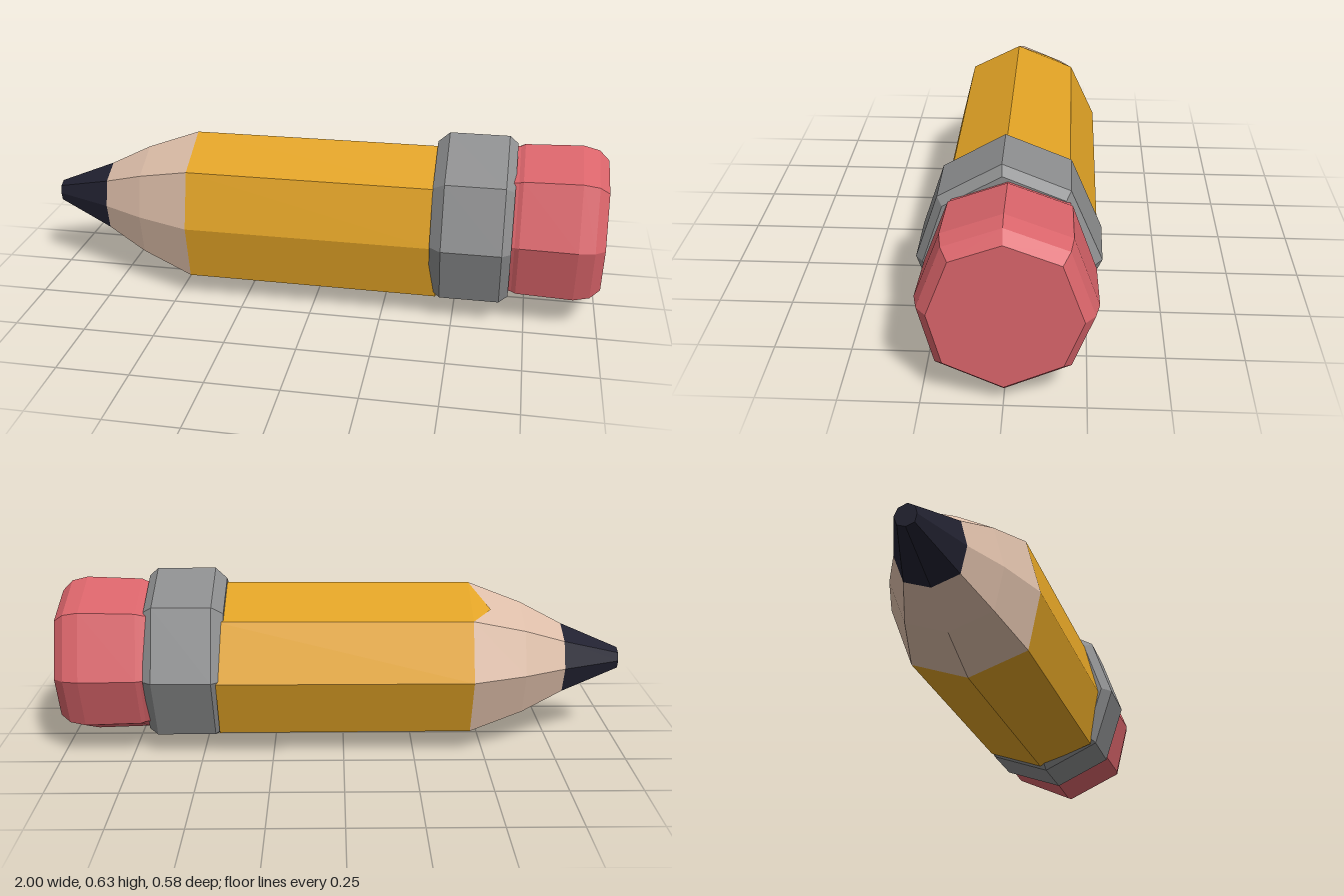
import * as THREE from 'three';

const paint = (name, color) => {
  const m = new THREE.MeshStandardMaterial({ color });
  m.name = name;
  return m;
};

// Eight-sided sections as [z, y], from the top round by the front
const SHAFT = [[0.02, 0.58], [0.195, 0.49], [0.243, 0.292], [0.2, 0.09],
  [0.0, 0.02], [-0.195, 0.09], [-0.275, 0.3], [-0.185, 0.495]];
const BAND = [[0.02, 0.636], [0.22, 0.52], [0.292, 0.305], [0.22, 0.095],
  [0.02, 0.003], [-0.19, 0.08], [-0.292, 0.308], [-0.19, 0.55]];
const RUBBER = [[0.0, 0.61], [0.185, 0.54], [0.266, 0.325], [0.215, 0.125],
  [0.0, 0.027], [-0.21, 0.125], [-0.28, 0.31], [-0.2, 0.535]];

// A section placed at x and scaled about its middle
function ring(section, x, scale = 1, cz = -0.01, cy = 0.3) {
  return section.map(([z, y]) => new THREE.Vector3(x, cy + (y - cy) * scale, cz + (z - cz) * scale));
}

function faceted(name, triangles, material) {
  const geometry = new THREE.BufferGeometry().setFromPoints(triangles);
  geometry.computeVertexNormals();
  const mesh = new THREE.Mesh(geometry, material);
  mesh.name = name;
  return mesh;
}

// Skin over successive rings, closed at both ends
function loft(name, rings, material) {
  const tris = [];
  const n = rings[0].length;
  for (let i = 0; i < rings.length - 1; i++) {
    for (let k = 0; k < n; k++) {
      const j = (k + 1) % n;
      const a = rings[i][k], b = rings[i][j], c = rings[i + 1][j], d = rings[i + 1][k];
      tris.push(a, b, c, a, c, d);
    }
  }
  const first = rings[0], last = rings[rings.length - 1];
  for (let k = 1; k < n - 1; k++) {
    tris.push(first[0], first[k + 1], first[k]);
    tris.push(last[0], last[k], last[k + 1]);
  }
  return faceted(name, tris, material);
}

export function createModel() {
  const yellow = paint('yellow paint', 0xe0a225);
  const wood = paint('bare wood', 0xdcbda8);
  const lead = paint('dark lead', 0x212130);
  const metal = paint('grey metal', 0x8c8d8e);
  const pink = paint('pink rubber', 0xd9646a);
  const pencil = new THREE.Group();
  pencil.name = 'pencil';

  // Sharpened end
  const shoulder = ring(SHAFT, -0.45);
  const leadBase = ring(SHAFT, -0.79, 0.46);
  pencil.add(loft('leadTip', [ring(SHAFT, -1, 0.14), leadBase], lead));
  pencil.add(loft('woodCone', [leadBase, ring(SHAFT, -0.64, 0.74), shoulder], wood));

  // Painted shaft, with one facet running to a point over the wood
  pencil.add(loft('shaft', [shoulder, ring(SHAFT, 0.44, 1.01)], yellow));
  const point = shoulder[7].clone().lerp(shoulder[0], 0.4);
  point.set(-0.52, 0.3 + (point.y - 0.3) * 0.904 + 0.004, -0.01 + (point.z + 0.01) * 0.904);
  pencil.add(faceted('paintPoint', [shoulder[7], point, shoulder[0]], yellow));

  // Metal band with bevelled rims
  pencil.add(loft('ferrule', [ring(BAND, 0.415, 0.89), ring(BAND, 0.455),
    ring(BAND, 0.66), ring(BAND, 0.69, 0.92)], metal));

  // Eraser, widest near its rounded end
  pencil.add(loft('eraser', [ring(RUBBER, 0.67, 0.93), ring(RUBBER, 0.7, 0.95),
    ring(RUBBER, 0.715, 0.975), ring(RUBBER, 0.91), ring(RUBBER, 0.965, 0.955),
    ring(RUBBER, 1, 0.84)], pink));

  return pencil;
}
